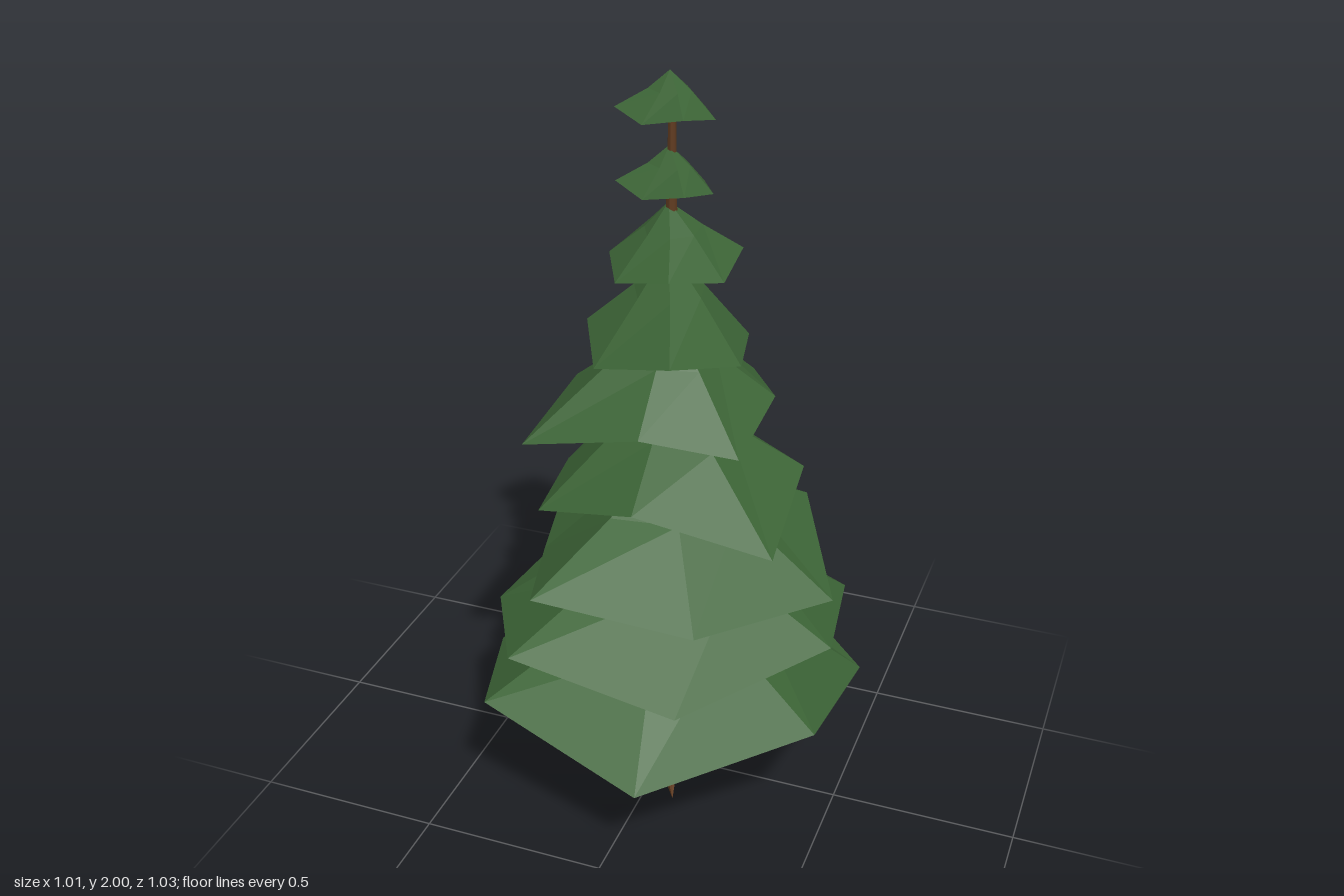
import * as THREE from 'three';

const SIDES = 7;

// [name, low rim y, high rim y, apex y, start angle in degrees, rim radii]
const TIERS = [
  ['tier1', 0.28, 0.395, 0.70, 232.5, [0.55, 0.52, 0.55, 0.56, 0.525, 0.548, 0.505]],
  ['tier2', 0.49, 0.59, 0.84, -36, [0.525, 0.522, 0.475, 0.53, 0.466, 0.45, 0.52]],
  ['tier3', 0.69, 0.78, 1.01, 60, [0.42, 0.5, 0.325, 0.445, 0.46, 0.42, 0.49]],
  ['tier4', 0.895, 0.965, 1.21, 189, [0.3, 0.44, 0.34, 0.36, 0.455, 0.295, 0.35]],
  ['tier5', 1.1, 1.16, 1.4, 290, [0.37, 0.28, 0.3, 0.262, 0.39, 0.26, 0.26]],
  ['tier6', 1.305, 1.355, 1.56, 16, [0.23, 0.265, 0.23, 0.2, 0.26, 0.24, 0.22]],
  ['tier7', 1.51, 1.54, 1.68, 273, [0.175, 0.2, 0.175, 0.18, 0.16, 0.14, 0.215]],
  ['tier8', 1.712, 1.735, 1.82, 0, [0.122, 0.14, 0.1, 0.12, 0.1, 0.09, 0.11]],
  ['tier9', 1.893, 1.915, 2.0, 0, [0.125, 0.13, 0.1, 0.12, 0.1, 0.1, 0.112]],
];

// Drooping skirt of needles: apex, middle ring, zigzag rim, shallow underside
function tierGeometry(low, high, top, start, radii) {
  const lean = low * 0.006;
  const bottom = low - radii[0] * 0.036;
  const apex = [lean, top, 0];
  const under = [lean, bottom, 0];
  const rim = [], mid = [], belly = [];
  radii.forEach((r, i) => {
    const a = THREE.MathUtils.degToRad(start + (i * 360) / SIDES);
    const y = i % 2 ? high : low;
    const ring = (scale, height) => [lean + r * scale * Math.cos(a), height, r * scale * Math.sin(a)];
    rim.push([r * Math.cos(a), y, r * Math.sin(a)]);
    mid.push(ring(0.43, top - (top - low) * 0.42 + (y - low) * 0.15));
    belly.push(ring(0.45, bottom + (y - low) * 0.25));
  });
  const points = [];
  const tri = (...corners) => corners.forEach((c) => points.push(...c));
  for (let i = 0; i < SIDES; i++) {
    const j = (i + 1) % SIDES;
    tri(apex, mid[j], mid[i]);
    tri(mid[i], mid[j], rim[j]);
    tri(mid[i], rim[j], rim[i]);
    tri(belly[i], rim[i], rim[j]);
    tri(belly[i], rim[j], belly[j]);
    tri(under, belly[i], belly[j]);
  }
  const geometry = new THREE.BufferGeometry();
  geometry.setAttribute('position', new THREE.Float32BufferAttribute(points, 3));
  geometry.computeVertexNormals();
  return geometry;
}

export function createModel() {
  const tree = new THREE.Group();
  tree.name = 'pineTree';

  const needles = new THREE.MeshStandardMaterial({ color: 0x3c6436 });
  needles.name = 'needleGreen';
  needles.flatShading = true;
  const bark = new THREE.MeshStandardMaterial({ color: 0x603b20 });
  bark.name = 'barkBrown';

  const add = (name, geometry, material) => {
    const mesh = new THREE.Mesh(geometry, material);
    mesh.name = name;
    tree.add(mesh);
    return mesh;
  };

  // Foliage
  for (const [name, low, high, top, start, radii] of TIERS) {
    add(name, tierGeometry(low, high, top, start, radii), needles);
  }

  // Tapering trunk with a slight lean
  const profile = [[0, 0], [0.08, 0], [0.066, 0.05], [0.057, 0.12], [0.05, 0.28],
    [0.036, 0.9], [0.018, 1.5], [0.009, 1.93]].map(([r, y]) => new THREE.Vector2(r, y));
  const trunk = new THREE.LatheGeometry(profile, 8);
  const p = trunk.attributes.position;
  for (let i = 0; i < p.count; i++) p.setX(i, p.getX(i) + 0.006 + p.getY(i) * 0.006);
  trunk.computeVertexNormals();
  add('trunk', trunk, bark);

  // Pointed roots reaching out from the base
  const up = new THREE.Vector3(0, 1, 0);
  const tips = [[-0.165, -0.07], [0.195, -0.035], [0.09, 0.185]];
  tips.forEach(([x, z], i) => {
    const tip = new THREE.Vector3(x, 0.012, z);
    const base = new THREE.Vector3(x * 0.15, 0.062, z * 0.15);
    const axis = tip.clone().sub(base);
    const root = add('root' + (i + 1), new THREE.ConeGeometry(0.042, axis.length(), 6), bark);
    root.position.copy(base).add(tip).multiplyScalar(0.5);
    root.quaternion.setFromUnitVectors(up, axis.normalize());
  });

  return tree;
}
